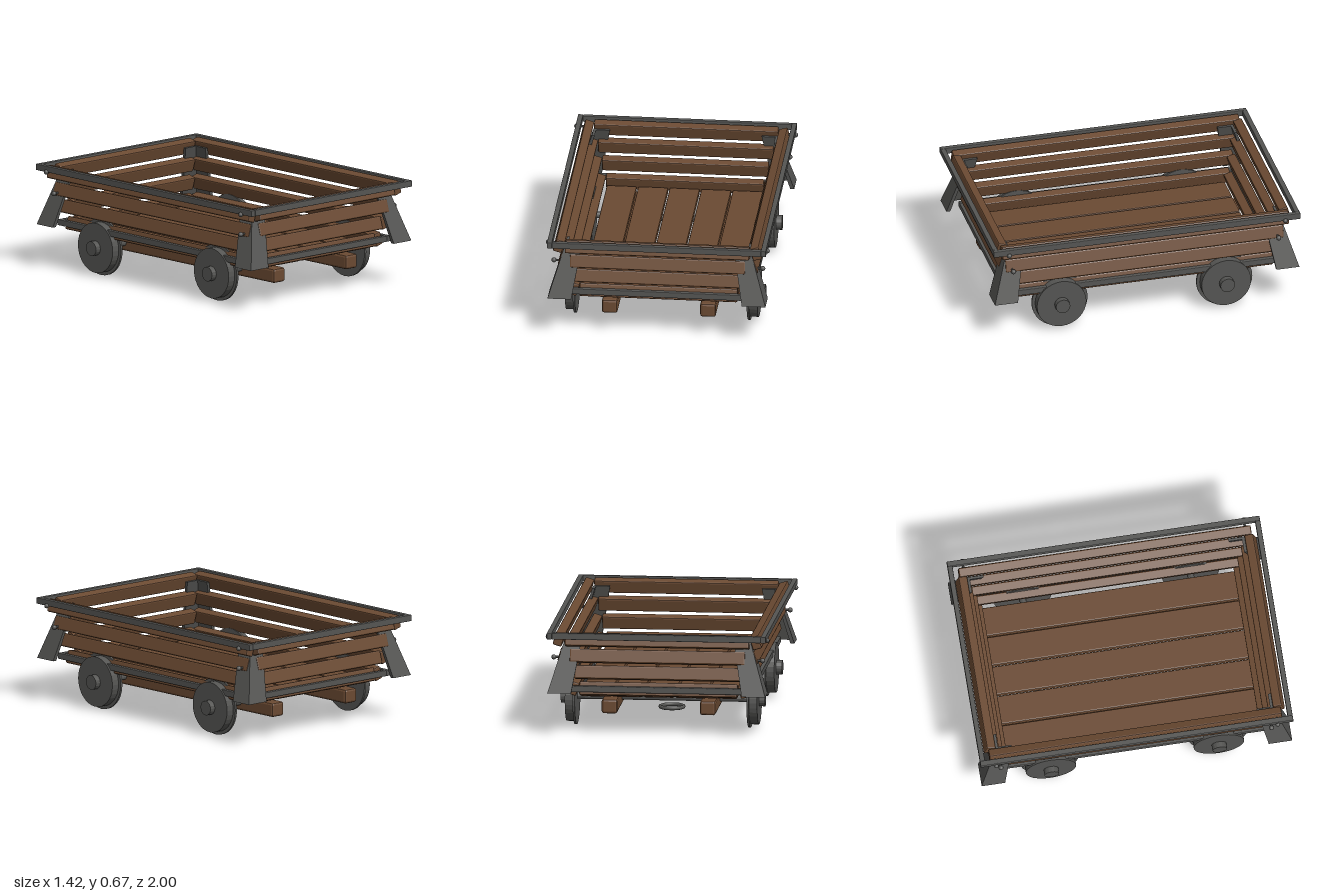
import * as THREE from 'three';
import { RoundedBoxGeometry } from 'three/addons/geometries/RoundedBoxGeometry.js';

const WOOD = new THREE.MeshStandardMaterial({ color: 0x6b4a32, flatShading: true });
const METAL = new THREE.MeshStandardMaterial({ color: 0x555553, flatShading: true });
const METAL_SMOOTH = new THREE.MeshStandardMaterial({ color: 0x555553 });
const TILT = 0.29;

export function createModel() {
  const cart = new THREE.Group();
  cart.name = 'cart';

  const add = (name, geometry, material, x = 0, y = 0, z = 0, parent = cart) => {
    const mesh = new THREE.Mesh(geometry, material);
    mesh.name = name;
    mesh.position.set(x, y, z);
    parent.add(mesh);
    return mesh;
  };
  // box with small chamfered edges
  const block = (w, h, d, bevel = 0.008) => new RoundedBoxGeometry(w, h, d, 1, bevel);
  // cylinder lying along x
  const rod = (r, length, sides = 24) => new THREE.CylinderGeometry(r, r, length, sides).rotateZ(Math.PI / 2);

  // floor planks
  for (let i = -2; i <= 2; i++) {
    add('floorPlank', block(0.19, 0.04, 1.62), WOOD, i * 0.2, 0.254, 0);
  }

  // two long beams under the floor
  for (const s of [-1, 1]) {
    add('chassisBeam', block(0.1, 0.092, 1.7, 0.015), WOOD, s * 0.312, 0.179, 0);
  }

  // four rows of tilted planks, each row stepped inward below the one above
  for (let row = 0; row < 4; row++) {
    const y = 0.621 - row * 0.11;
    const inset = row * 0.028;
    for (const s of [-1, 1]) {
      const side = add('sidePlank', block(0.058, 0.085, 1.87 - 2 * inset), WOOD, s * (0.625 - inset), y, 0);
      side.rotation.z = s * TILT;
      const end = add('endPlank', block(1.17 - 2 * inset, 0.085, 0.058), WOOD, 0, y, s * (0.925 - inset));
      end.rotation.x = -s * TILT;
    }
  }

  // rectangular metal frames: top rim and lower band
  const frame = (name, x, z, y, width, height) => {
    for (const s of [-1, 1]) {
      add(name, block(width, height, 2 * z, 0.004), METAL, s * (x - width / 2), y, 0);
      add(name, block(2 * (x - width), height, width, 0.004), METAL, 0, y, s * (z - width / 2));
    }
  };
  frame('topRim', 0.695, 1, 0.652, 0.032, 0.04);
  frame('lowerBand', 0.6, 0.9, 0.297, 0.03, 0.038);

  // angle plate: an L section that widens and flares outward toward the bottom
  const t = 0.17;
  const angle = new THREE.Shape([[0, 0], [0, -1], [-t, -1], [-t, -t], [-1, -t], [-1, 0]]
    .map(([x, y]) => new THREE.Vector2(x, y)));
  const plate = new THREE.ExtrudeGeometry(angle, { depth: 1, bevelEnabled: false });
  plate.rotateX(Math.PI / 2);
  const p = plate.attributes.position;
  for (let i = 0; i < p.count; i++) {
    const down = -p.getY(i);
    const arm = 0.105 + 0.045 * down;
    p.setXYZ(i, 0.587 + 0.105 * down + p.getX(i) * arm, 0.625 - 0.342 * down,
      0.888 + 0.105 * down + p.getZ(i) * arm);
  }
  plate.computeVertexNormals();
  const plateMaterial = METAL.clone();
  plateMaterial.side = THREE.DoubleSide;

  // corners: plate and two rivets, mirrored four ways
  for (const sx of [-1, 1]) {
    for (const sz of [-1, 1]) {
      const corner = new THREE.Group();
      corner.name = 'corner';
      corner.scale.set(sx, 1, sz);
      cart.add(corner);
      add('cornerPlate', plate, plateMaterial, 0, 0, 0, corner);
      for (const [x, y, z] of [[0.695, 0.633, 0.9], [0.663, 0.495, 0.865]]) {
        add('rivet', new THREE.SphereGeometry(0.016, 12, 8), METAL_SMOOTH, x, y, z, corner);
        add('rivetShank', rod(0.008, 0.05, 8), METAL, x - 0.025, y, z, corner);
      }
    }
  }

  // axles with flanged wheels and hubs
  for (const z of [-0.537, 0.537]) {
    add('axle', rod(0.021, 1.2, 12), METAL, 0, 0.187, z);
    for (const s of [-1, 1]) {
      add('wheelTread', rod(0.161, 0.055, 32), METAL, s * 0.583, 0.187, z);
      add('wheelFlange', rod(0.182, 0.014, 32), METAL, s * 0.552, 0.187, z);
      add('hub', rod(0.047, 0.06, 16), METAL, s * 0.618, 0.187, z);
    }
  }

  // loose ring below the middle
  const ring = new THREE.TorusGeometry(0.073, 0.012, 8, 32).rotateX(Math.PI / 2);
  add('ring', ring, METAL_SMOOTH, 0, 0.026, 0);

  return cart;
}
